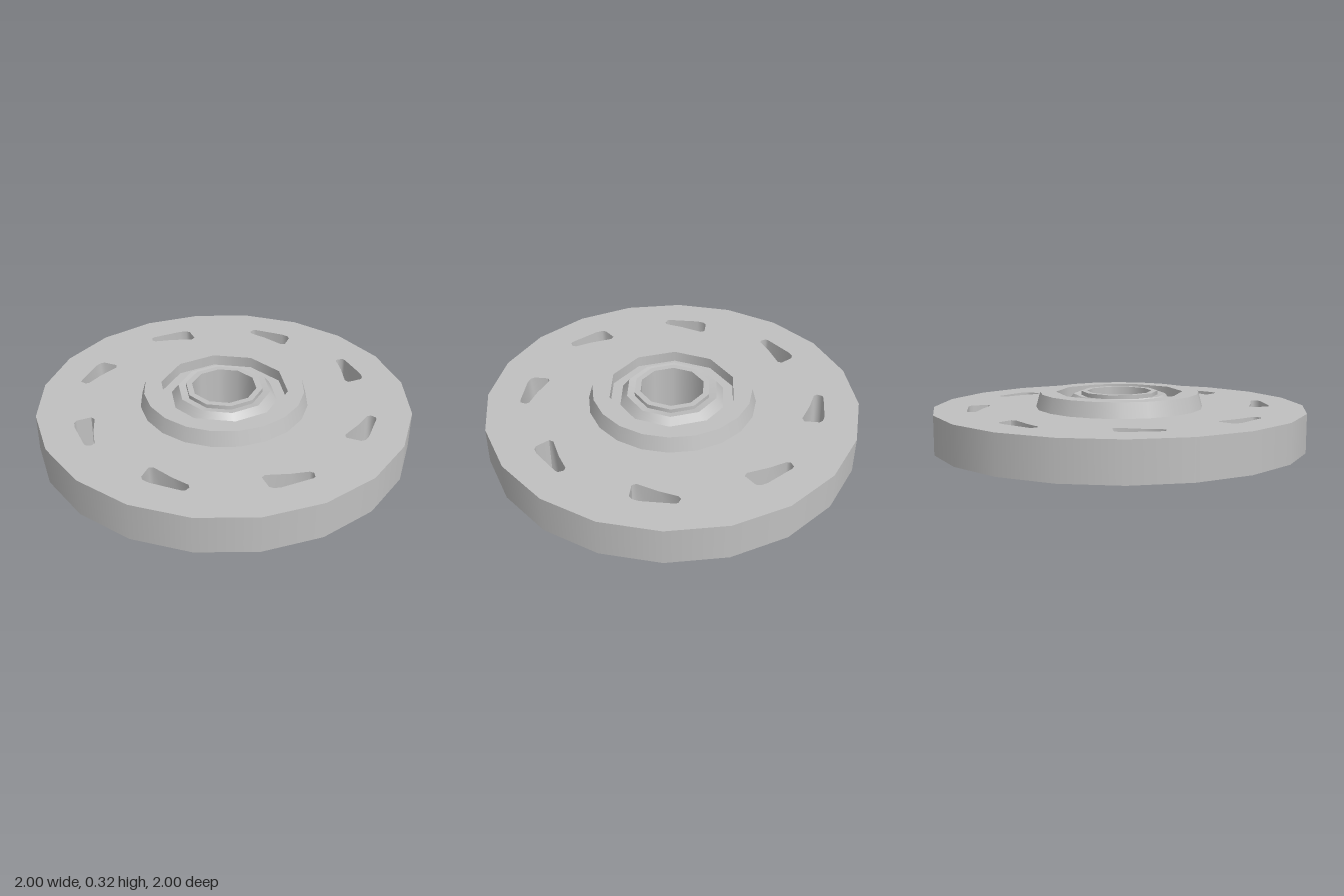
import * as THREE from 'three';
import { mergeGeometries, toCreasedNormals } from 'three/addons/utils/BufferGeometryUtils.js';

const SIDES = 20, BORE_SIDES = 10;
const H = 0.32; // full height, the bearing is symmetric about its middle

// Revolved profile of [radius, y] points: smooth around, sharp between bands
function turned(points, sides) {
  const bands = [];
  for (let i = 0; i + 1 < points.length; i++) {
    const pair = [points[i], points[i + 1]].map(([r, y]) => new THREE.Vector2(r, y));
    bands.push(new THREE.LatheGeometry(pair, sides));
  }
  return mergeGeometries(bands);
}

// Regular polygon with a corner on the z axis, as (x, z) points
function polygon(r, sides) {
  return Array.from({ length: sides }, (_, i) => {
    const a = (i / sides) * Math.PI * 2;
    return new THREE.Vector2(r * Math.sin(a), r * Math.cos(a));
  });
}

// Flat horizontal face with holes, facing up or down
function plate(outer, holes, y, up) {
  const flip = (p) => new THREE.Vector2(p.x, up ? -p.y : p.y);
  const shape = new THREE.Shape(outer.map(flip));
  shape.holes = holes.map((h) => new THREE.Path(h.map(flip)));
  const g = new THREE.ShapeGeometry(shape);
  g.rotateX(up ? -Math.PI / 2 : Math.PI / 2);
  g.translate(0, y, 0);
  return g;
}

// Walls of a slot, facing into the opening
function slotWalls(loop, y0, y1) {
  const pos = [];
  loop.forEach((p, i) => {
    const q = loop[(i + 1) % loop.length];
    pos.push(p.x, y0, p.y, q.x, y1, q.y, q.x, y0, q.y);
    pos.push(p.x, y0, p.y, p.x, y1, p.y, q.x, y1, q.y);
  });
  const g = new THREE.BufferGeometry();
  g.setAttribute('position', new THREE.Float32BufferAttribute(pos, 3));
  return toCreasedNormals(g, 1.0);
}

export function createModel() {
  const model = new THREE.Group();
  const steel = new THREE.MeshStandardMaterial({ color: 0xc0c0c0 });
  steel.name = 'steel grey';
  const add = (name, geometry) => {
    const mesh = new THREE.Mesh(geometry, steel);
    mesh.name = name;
    model.add(mesh);
  };

  // Eight wedge-shaped slots around the disc
  const slot = [
    [-0.31, -0.753], [-0.312, -0.722], [-0.295, -0.709], [-0.2, -0.71], [-0.077, -0.698],
    [-0.058, -0.714], [-0.076, -0.79], [-0.096, -0.804], [-0.134, -0.804], [-0.297, -0.762],
  ].map(([x, z]) => new THREE.Vector2(x, z));
  const origin = new THREE.Vector2();
  const slots = Array.from({ length: 8 }, (_, i) =>
    slot.map((p) => p.clone().rotateAround(origin, (i * Math.PI) / 4)));

  // Disc: rim with stepped underside, then the two slotted faces
  add('discRim', turned([[0.85, 0.012], [0.89, 0.03], [1, 0.03], [1, 0.235]], SIDES));
  add('discTop', plate(polygon(1, SIDES), [polygon(0.45, SIDES), ...slots], 0.235, true));
  add('discUnderside', plate(polygon(0.85, SIDES), [polygon(0.342, BORE_SIDES), ...slots], 0.012, false));
  slots.forEach((s, i) => add('slotWall' + (i + 1), slotWalls(s, 0.012, 0.235)));

  // Hub collar
  add('hubSide', turned([[0.45, 0.235], [0.428, 0.315]], SIDES));
  add('hubTop', plate(polygon(0.428, SIDES), [polygon(0.342, BORE_SIDES)], 0.315, true));

  // Bearing: recess, tapered ring and centre sleeve, repeated below
  const half = [
    [0.342, 0.315], [0.342, 0.255], [0.286, 0.255], [0.248, 0.305],
    [0.206, 0.298], [0.206, H], [0.174, H],
  ];
  add('bearingTop', turned(half, BORE_SIDES));
  const lower = half.map(([r, y]) => [r, H - y]).reverse();
  lower[lower.length - 1][1] = 0.012;
  add('bearingBottom', turned(lower, BORE_SIDES));
  add('bearingBore', turned([[0.174, H], [0.174, 0]], BORE_SIDES));

  return model;
}
